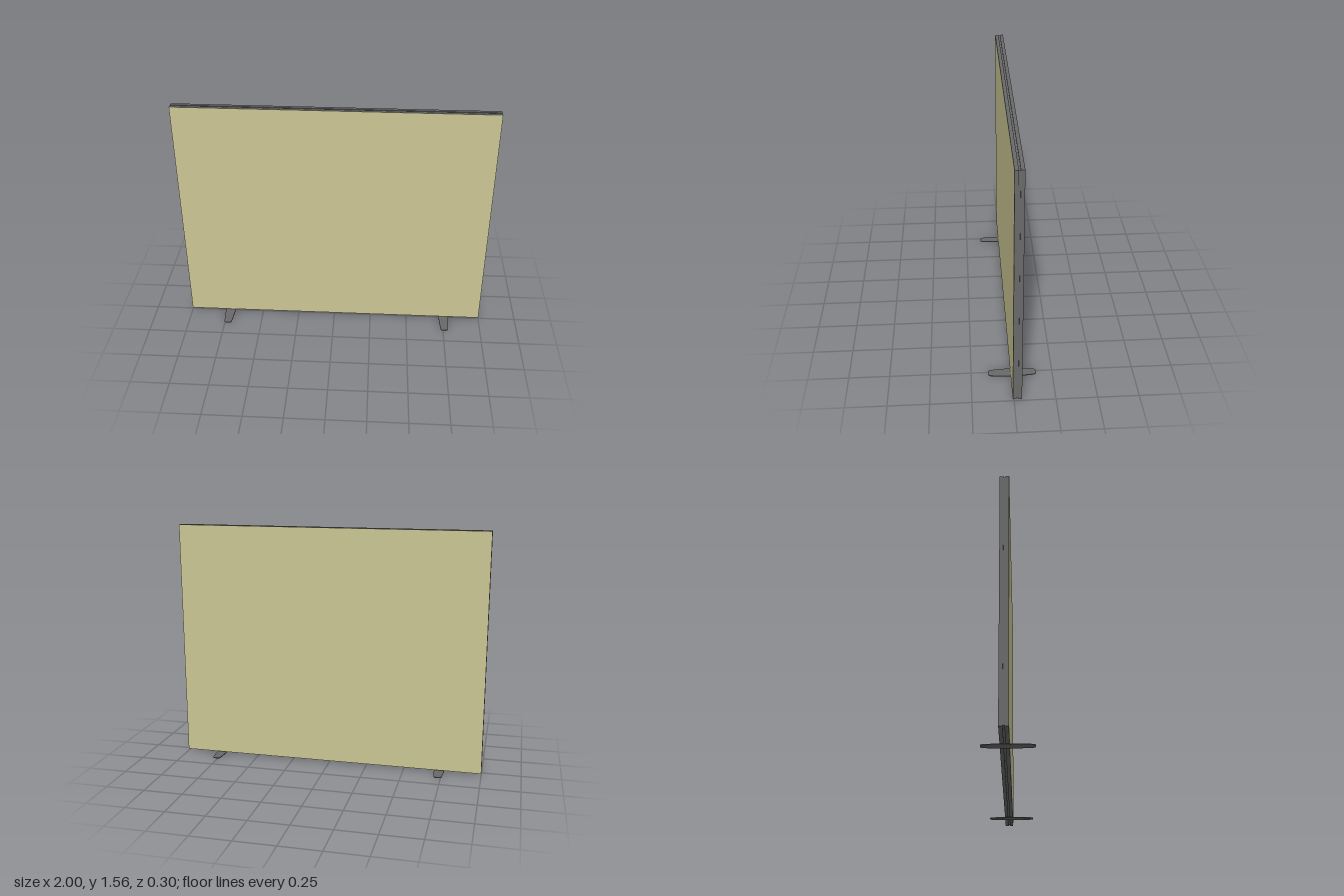
import * as THREE from 'three';

const W = 2, BOTTOM = 0.012, TOP = 1.556;   // panel extents
const Z_FRONT = 0.007, Z_BACK = -0.047;
const GROOVE_W = 0.01, GROOVE_D = 0.005;    // groove running round the rim

export function createModel() {
  const group = new THREE.Group();
  const frameMat = new THREE.MeshStandardMaterial({ color: 0x696969 });
  const fabricMat = new THREE.MeshStandardMaterial({ color: 0xcbc693 });
  const H = TOP - BOTTOM, midY = (TOP + BOTTOM) / 2, midZ = (Z_FRONT + Z_BACK) / 2;

  const add = (name, geometry, material, x, y, z, parent = group) => {
    const mesh = new THREE.Mesh(geometry, material);
    mesh.name = name;
    mesh.position.set(x, y, z);
    parent.add(mesh);
    return mesh;
  };

  // Recessed core between two frame halves leaves the rim groove
  add('frameCore', new THREE.BoxGeometry(W - 2 * GROOVE_D, H - 2 * GROOVE_D, GROOVE_W), frameMat, 0, midY, midZ);
  const halfDepth = (Z_FRONT - Z_BACK - GROOVE_W) / 2;
  for (const [side, s] of [['front', 1], ['back', -1]]) {
    add(side + 'Frame', new THREE.BoxGeometry(W, H, halfDepth), frameMat,
      0, midY, midZ + s * (GROOVE_W + halfDepth) / 2);
    // Fabric covering the whole face
    const fabric = add(side + 'Fabric', new THREE.PlaneGeometry(W, H), fabricMat,
      0, midY, midZ + s * ((Z_FRONT - Z_BACK) / 2 + 0.001));
    if (s < 0) fabric.rotation.y = Math.PI;
  }

  // Flat foot plate: widest in the middle, tapering to rounded ends
  const m = 0.033, e = 0.025, L = 0.148, r = 0.018;
  const outline = new THREE.Shape();
  outline.moveTo(m, 0);
  outline.quadraticCurveTo(m, 0.06, e, L - r);
  outline.quadraticCurveTo(e - 0.003, L, e - r, L);
  outline.lineTo(r - e, L);
  outline.quadraticCurveTo(0.003 - e, L, -e, L - r);
  outline.quadraticCurveTo(-m, 0.06, -m, 0);
  outline.quadraticCurveTo(-m, -0.06, -e, r - L);
  outline.quadraticCurveTo(0.003 - e, -L, r - e, -L);
  outline.lineTo(e - r, -L);
  outline.quadraticCurveTo(e - 0.003, -L, e, r - L);
  outline.quadraticCurveTo(m, -0.06, m, 0);
  const plate = new THREE.ExtrudeGeometry(outline, { depth: 0.005, bevelEnabled: false, curveSegments: 8 });
  plate.rotateX(-Math.PI / 2);

  // Feet with short stems up to the panel
  for (const [name, x] of [['rightFoot', -0.73], ['leftFoot', 0.76]]) {
    const foot = new THREE.Group();
    foot.name = name;
    foot.position.set(x, 0, -0.002);
    add('footPlate', plate, frameMat, 0, 0, 0, foot);
    add('footStem', new THREE.CylinderGeometry(0.009, 0.009, 0.01, 16), frameMat, 0, 0.009, -0.006, foot);
    group.add(foot);
  }
  return group;
}
